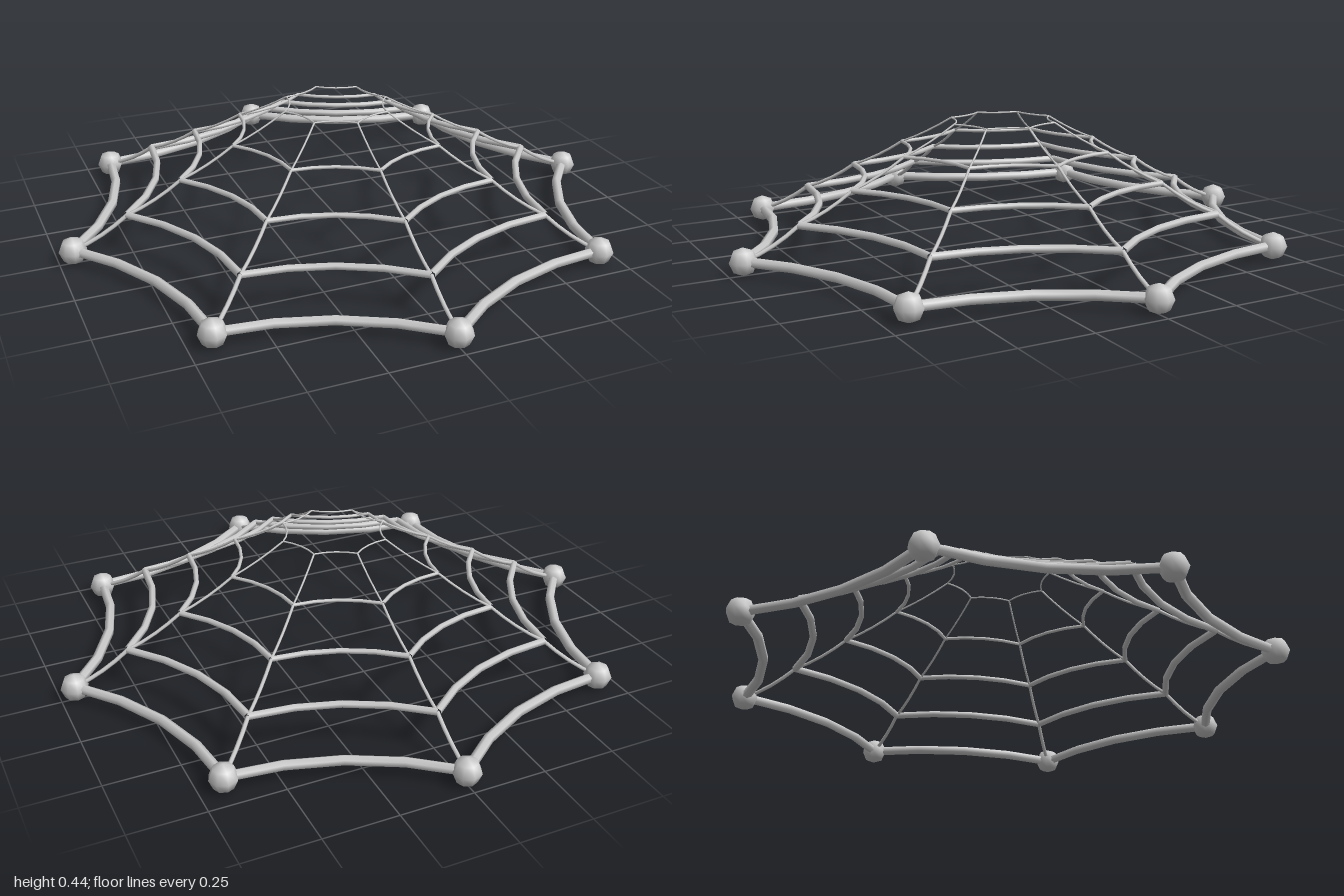
import * as THREE from 'three';

const SPOKES = 8;
const RINGS = 5;
const OUTER = 0.952;
const BASE_Y = 0.048;
const TOP_Y = 0.432;

export function createModel() {
  const web = new THREE.Group();
  web.name = 'domedWeb';
  const material = new THREE.MeshStandardMaterial({ color: 0xcccccc });

  // Knot position: ring 1 is the small top ring, ring 5 the rim
  const knot = (ring, spoke) => {
    const a = (spoke / SPOKES) * Math.PI * 2;
    const r = (OUTER * ring) / RINGS;
    const y = THREE.MathUtils.lerp(TOP_Y, BASE_Y, (ring - 1) / (RINGS - 1));
    return new THREE.Vector3(r * Math.sin(a), y, r * Math.cos(a));
  };

  const addStrand = (name, from, control, to, radius, parent) => {
    const curve = new THREE.QuadraticBezierCurve3(from, control, to);
    const mesh = new THREE.Mesh(new THREE.TubeGeometry(curve, 4, radius, 6), material);
    mesh.name = name;
    parent.add(mesh);
  };

  // Ring strands bow inward between neighbouring spokes, thinner toward the top
  const ringRadii = [0.003, 0.0065, 0.01, 0.013, 0.0175];
  for (let ring = 1; ring <= RINGS; ring++) {
    const group = new THREE.Group();
    group.name = `ring${ring}`;
    for (let s = 0; s < SPOKES; s++) {
      const control = knot(ring, s + 0.5);
      control.x *= 0.778;
      control.z *= 0.778;
      addStrand('ringStrand', knot(ring, s), control, knot(ring, s + 1), ringRadii[ring - 1], group);
    }
    web.add(group);
  }

  // Spokes hang in a shallow droop from ring to ring, deeper toward the rim
  for (let s = 0; s < SPOKES; s++) {
    const spoke = new THREE.Group();
    spoke.name = `spoke${s + 1}`;
    for (let ring = 1; ring < RINGS; ring++) {
      const from = knot(ring, s);
      const to = knot(ring + 1, s);
      const control = from.clone().lerp(to, 0.5);
      control.y -= 0.008 + 0.004 * ring;
      addStrand('spokeStrand', from, control, to, 0.002 + 0.0013 * ring, spoke);
    }
    web.add(spoke);
  }

  // Coarse beads at the rim corners
  const beadGeometry = new THREE.SphereGeometry(0.048, 8, 4);
  for (let s = 0; s < SPOKES; s++) {
    const bead = new THREE.Mesh(beadGeometry, material);
    bead.name = 'rimBead';
    bead.position.copy(knot(RINGS, s));
    web.add(bead);
  }

  return web;
}
